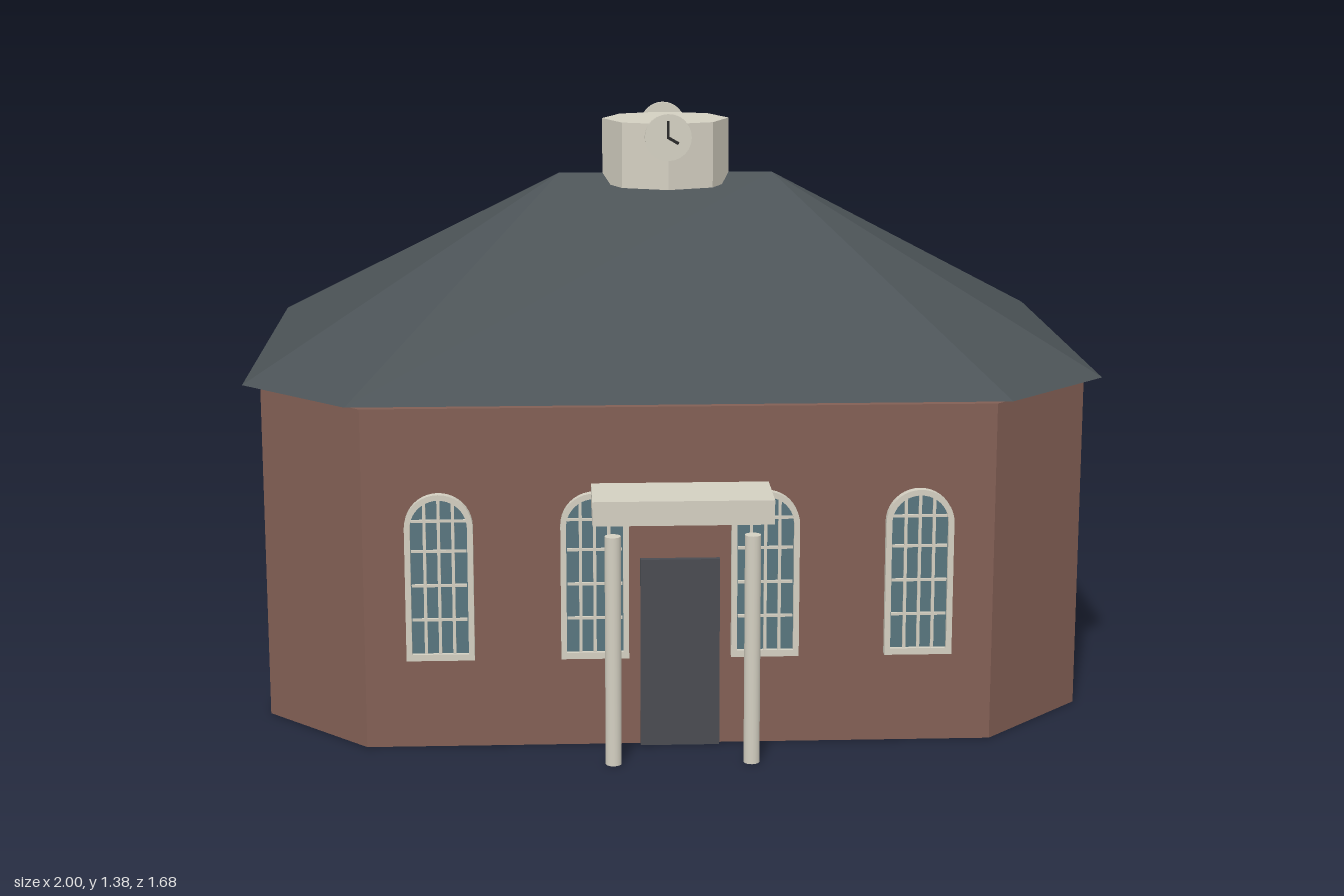
import * as THREE from 'three';
import { ConvexGeometry } from 'three/addons/geometries/ConvexGeometry.js';

const material = (name, color) => {
  const m = new THREE.MeshStandardMaterial({ color });
  m.name = name;
  return m;
};

const CZ = -0.07; // centre line of the building

// Corners of a rectangle with cut corners
function cutRectangle(w, d, cutW, cutD) {
  return [[cutW, d], [w, cutD], [w, -cutD], [cutW, -d], [-cutW, -d], [-w, -cutD], [-w, cutD], [-cutW, d]];
}

// Round-headed outline standing on y = y0, shared by windows and frames
function archOutline(target, half, y0, spring) {
  target.moveTo(-half, y0);
  target.lineTo(half, y0);
  target.lineTo(half, spring);
  target.absarc(0, spring, half, 0, Math.PI, false);
  target.lineTo(-half, y0);
  return target;
}

const extrude = (shape, depth) =>
  new THREE.ExtrudeGeometry(shape, { depth, bevelEnabled: false, curveSegments: 10 });

export function createModel() {
  const brick = material('brick', 0x825f54);
  const slate = material('slate', 0x4b5256);
  const glass = material('glass', 0x58757e);
  const trim = material('stone trim', 0xd3cfc1);
  const doorPaint = material('door paint', 0x494b51);
  const black = material('clock hand black', 0x222222);

  const model = new THREE.Group();
  model.name = 'townHall';

  function add(parent, name, geometry, mat, x = 0, y = 0, z = 0) {
    const mesh = new THREE.Mesh(geometry, mat);
    mesh.name = name;
    mesh.position.set(x, y, z);
    parent.add(mesh);
    return mesh;
  }
  const box = (parent, name, mat, w, h, d, x, y, z) =>
    add(parent, name, new THREE.BoxGeometry(w, h, d), mat, x, y, z);

  // Walls
  const plan = new THREE.Shape(cutRectangle(0.96, 0.745, 0.715, 0.5).map(([x, y]) => new THREE.Vector2(x, y)));
  const wallGeometry = extrude(plan, 0.79);
  wallGeometry.rotateX(-Math.PI / 2);
  add(model, 'walls', wallGeometry, brick, 0, 0, CZ);

  // Hipped roof with a short ridge
  const roofPoints = cutRectangle(1, 0.77, 0.745, 0.515).map(([x, z]) => new THREE.Vector3(x, 0.8, z));
  roofPoints.push(new THREE.Vector3(-0.265, 1.225, 0), new THREE.Vector3(0.265, 1.225, 0));
  add(model, 'roof', new ConvexGeometry(roofPoints), slate, 0, 0, CZ);

  // Arched window with frame and glazing bars, base plane at z = 0
  function barredWindow() {
    const g = new THREE.Group();
    g.name = 'barredWindow';
    const inner = 0.064, sill = 0.225, spring = 0.52;
    add(g, 'windowGlass', extrude(archOutline(new THREE.Shape(), inner, sill, spring), 0.009), glass);
    const frame = archOutline(new THREE.Shape(), 0.077, 0.21, spring);
    frame.holes.push(archOutline(new THREE.Path(), inner, sill, spring));
    add(g, 'windowFrame', extrude(frame, 0.02), trim);
    for (const x of [-0.032, 0, 0.032]) {
      const top = spring + Math.sqrt(inner * inner - x * x);
      box(g, 'verticalBar', trim, 0.007, top - sill, 0.006, x, (top + sill) / 2, 0.012);
    }
    for (const y of [0.305, 0.385, 0.465, 0.535]) {
      box(g, 'horizontalBar', trim, inner * 1.94, 0.006, 0.006, 0, y, 0.0115);
    }
    return g;
  }

  // Rows of windows on front and back
  for (const x of [-0.543, -0.193, 0.193, 0.543]) {
    for (const side of [1, -1]) {
      const w = barredWindow();
      w.position.set(x, 0, CZ + side * 0.745);
      if (side < 0) w.rotation.y = Math.PI;
      model.add(w);
    }
  }

  // Plain arched windows on the two ends
  for (const side of [1, -1]) {
    const end = add(model, 'endWindow', extrude(archOutline(new THREE.Shape(), 0.088, 0.235, 0.545), 0.008),
      glass, side * 0.96, 0, CZ);
    end.rotation.y = side * Math.PI / 2;
  }

  // Door and porch
  box(model, 'door', doorPaint, 0.18, 0.44, 0.015, 0, 0.22, 0.6825);
  box(model, 'porchCanopy', trim, 0.4, 0.055, 0.17, 0, 0.588, 0.76);
  for (const x of [-0.155, 0.155]) {
    add(model, 'porchColumn', new THREE.CylinderGeometry(0.018, 0.018, 0.528, 16), trim, x, 0.264, 0.807);
  }

  // Eight-sided clock turret
  const turretGeometry = new THREE.CylinderGeometry(0.157, 0.157, 0.16, 8).toNonIndexed();
  turretGeometry.computeVertexNormals();
  add(model, 'clockTurret', turretGeometry, trim, 0, 1.28, CZ);

  // Clock faces on front and back
  for (const side of [1, -1]) {
    const clock = new THREE.Group();
    clock.name = 'clock';
    const dial = add(clock, 'clockDial', new THREE.CylinderGeometry(0.057, 0.057, 0.016, 24), trim);
    dial.rotation.x = Math.PI / 2;
    box(clock, 'minuteHand', black, 0.006, 0.042, 0.004, 0, 0.019, 0.01);
    const hour = box(clock, 'hourHand', black, 0.03, 0.007, 0.004, 0.012, -0.007, 0.01);
    hour.rotation.z = -Math.PI / 6;
    clock.position.set(0, 1.328, CZ + side * 0.153);
    if (side < 0) clock.rotation.y = Math.PI;
    model.add(clock);
  }

  return model;
}
